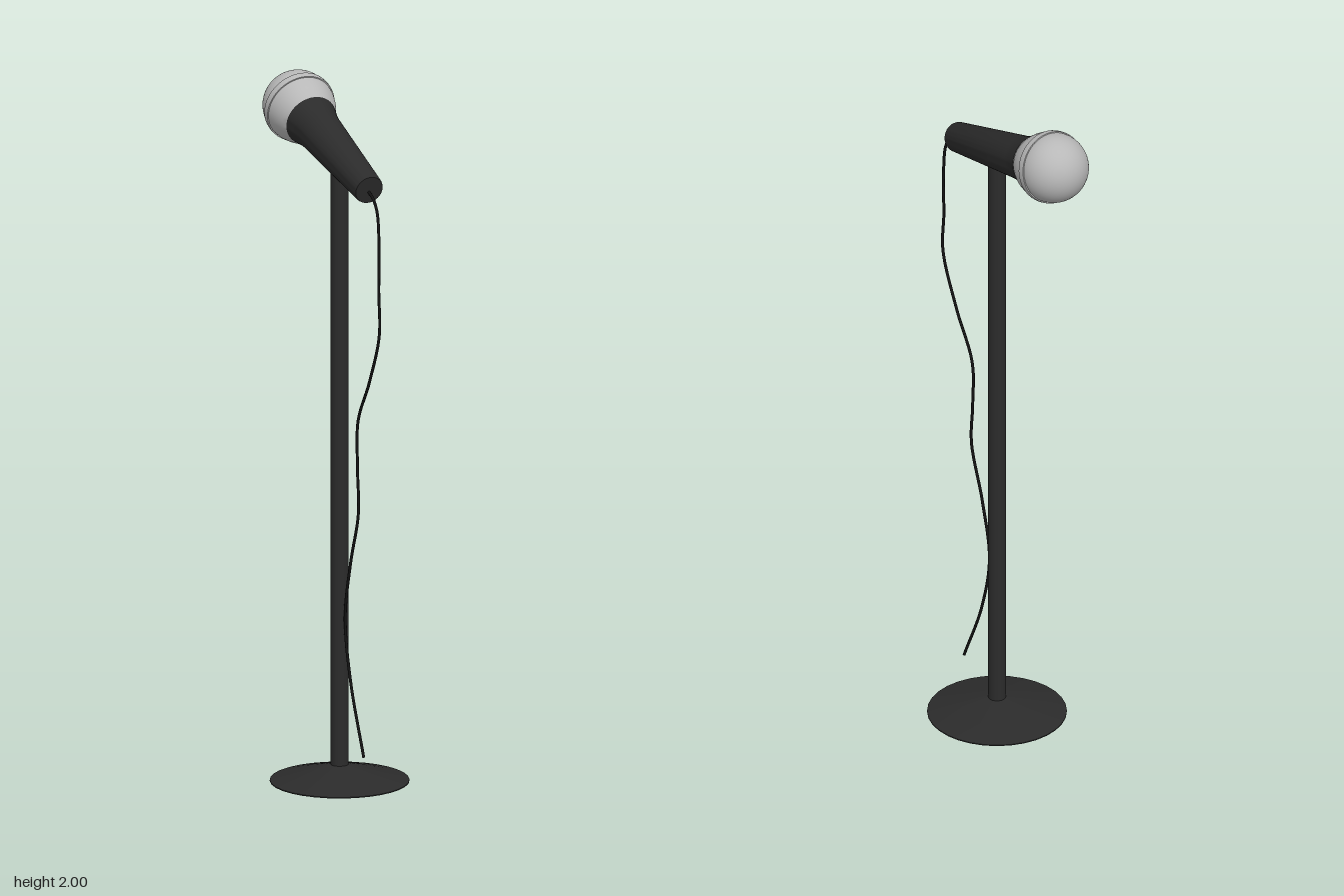
import * as THREE from 'three';
import { toCreasedNormals } from 'three/addons/utils/BufferGeometryUtils.js';

const material = (name, color) => {
  const m = new THREE.MeshStandardMaterial({ color });
  m.name = name;
  return m;
};

// Solid of revolution from [radius, height] pairs, with sharp edges kept
const lathe = (points, sides = 48) => toCreasedNormals(
  new THREE.LatheGeometry(points.map(([r, y]) => new THREE.Vector2(r, y)), sides), 0.5);

export function createModel() {
  const model = new THREE.Group();
  model.name = 'microphoneOnStand';

  const black = material('matteBlack', 0x2b2b2b);
  const rubber = material('cableBlack', 0x121212);
  const silver = material('grilleSilver', 0xb8b8b8);

  const add = (parent, name, geometry, mat) => {
    const mesh = new THREE.Mesh(geometry, mat);
    mesh.name = name;
    parent.add(mesh);
    return mesh;
  };

  // Stand: shallow conical foot and straight pole
  const stand = new THREE.Group();
  stand.name = 'stand';
  stand.position.z = 0.055;
  model.add(stand);
  add(stand, 'base', lathe([[0, 0], [0.197, 0], [0.197, 0.003], [0.025, 0.048], [0, 0.05]], 32), black);
  add(stand, 'pole', new THREE.CylinderGeometry(0.025, 0.025, 1.77, 32), black).position.y = 0.915;

  // Microphone: built along +y from its tail, then tilted back
  const mic = new THREE.Group();
  mic.name = 'microphone';
  mic.position.set(0, 1.77, 0.257);
  mic.rotation.x = -THREE.MathUtils.degToRad(75);
  model.add(mic);
  add(mic, 'handle', lathe([
    [0, 0], [0.041, 0], [0.043, 0.006], [0.063, 0.345], [0.066, 0.368], [0.076, 0.41], [0, 0.41],
  ]), black);
  add(mic, 'grilleBowl', lathe([
    [0.074, 0.408], [0.083, 0.424], [0.091, 0.443], [0.097, 0.463], [0.1, 0.484],
  ]), silver);
  add(mic, 'grilleBand', lathe([
    [0.098, 0.482], [0.103, 0.482], [0.104, 0.492], [0.103, 0.504], [0.098, 0.504],
  ]), silver);
  const dome = new THREE.SphereGeometry(0.1, 48, 24, 0, Math.PI * 2, 0, Math.PI / 2);
  add(mic, 'grilleDome', dome, silver).position.y = 0.503;

  // Cable hanging from the tail, as [z, y] points
  const path = [
    [0.25, 1.765], [0.285, 1.75], [0.312, 1.715], [0.324, 1.61], [0.322, 1.49], [0.326, 1.365],
    [0.257, 1.208], [0.18, 1.075], [0.177, 0.94], [0.183, 0.81], [0.13, 0.652],
    [0.093, 0.482], [0.13, 0.307], [0.22, 0.106],
  ].map(([z, y]) => new THREE.Vector3(0, y, z));
  add(model, 'cable', new THREE.TubeGeometry(new THREE.CatmullRomCurve3(path), 120, 0.0042, 10), rubber);

  return model;
}
